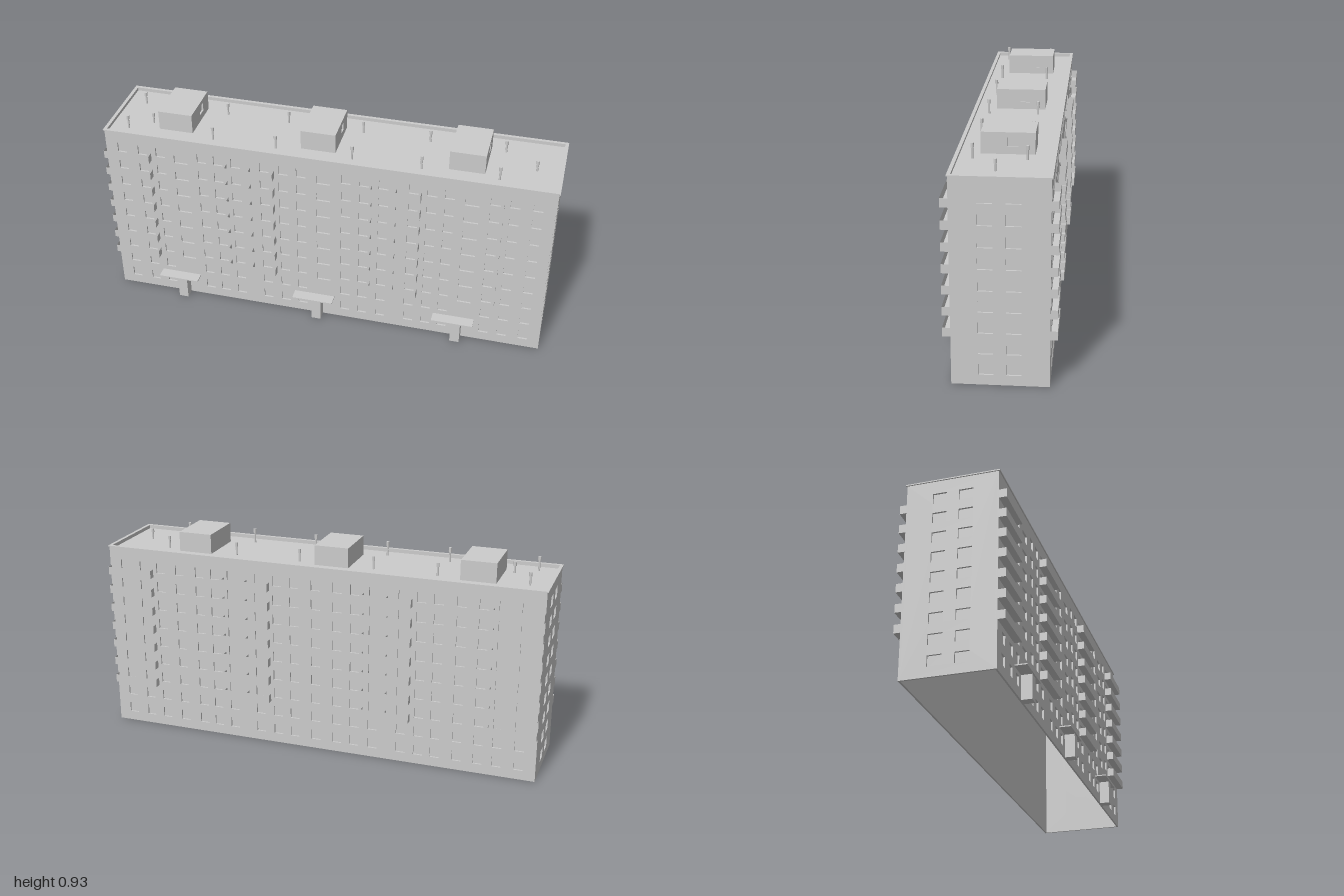
import * as THREE from 'three';
import { mergeGeometries } from 'three/addons/utils/BufferGeometryUtils.js';

const mat = new THREE.MeshStandardMaterial({ color: 0xcccccc, flatShading: true, side: THREE.DoubleSide });
const RECESS = 0.008, PITCH = 0.0885;
const ROWS = 9, FIRST_SILL = 0.043;
const FRONT = 0.18, BACK = -0.205, MID_Z = (FRONT + BACK) / 2, HALF_X = 0.995, WALL_H = 0.855;

function add(parent, geometry, name, x = 0, y = 0, z = 0) {
  const mesh = new THREE.Mesh(geometry, mat);
  mesh.name = name;
  mesh.position.set(x, y, z);
  parent.add(mesh);
  return mesh;
}

// Box given by its limits on each axis
function block(parent, name, x0, x1, y0, y1, z0, z1) {
  return add(parent, new THREE.BoxGeometry(x1 - x0, y1 - y0, z1 - z0), name,
    (x0 + x1) / 2, (y0 + y1) / 2, (z0 + z1) / 2);
}

function rectangle(Type, x0, x1, y0, y1) {
  return new Type([[x0, y0], [x1, y0], [x1, y1], [x0, y1]].map(p => new THREE.Vector2(...p)));
}

// Wall facing local +z with recessed windows {x, y, w, h}: x is the centre, y the sill
function wall(parent, name, width, height, windows, x, y, z, turn) {
  const shape = rectangle(THREE.Shape, -width / 2, width / 2, 0, height);
  const panes = [];
  for (const o of windows) {
    shape.holes.push(rectangle(THREE.Path, o.x - o.w / 2, o.x + o.w / 2, o.y, o.y + o.h));
    panes.push(new THREE.PlaneGeometry(o.w, o.h).translate(o.x, o.y + o.h / 2, -RECESS));
  }
  const side = new THREE.Group();
  side.name = name;
  side.position.set(x, y, z);
  side.rotation.y = turn;
  add(side, new THREE.ExtrudeGeometry(shape, { depth: RECESS, bevelEnabled: false }).translate(0, 0, -RECESS), name + 'Face');
  if (panes.length) add(side, mergeGeometries(panes), name + 'Panes');
  parent.add(side);
}

// Windows of all storeys for the given column centres
function windowGrid(columns, w) {
  const list = [];
  for (const x of columns)
    for (let r = 0; r < ROWS; r++) list.push({ x, y: FIRST_SILL + r * PITCH, w, h: 0.046 });
  return list;
}

// Thin open-topped balcony projecting from z0 to z1
function balcony(parent, x0, x1, y, z0, z1, divided) {
  const h = 0.037, d = Math.abs(z1 - z0), zc = (z0 + z1) / 2, xc = (x0 + x1) / 2;
  const parts = [
    new THREE.PlaneGeometry(x1 - x0, d).rotateX(-Math.PI / 2).translate(xc, y, zc),
    new THREE.PlaneGeometry(x1 - x0, h).translate(xc, y + h / 2, z1),
  ];
  for (const x of divided ? [x0, xc, x1] : [x0, x1])
    parts.push(new THREE.PlaneGeometry(d, h).rotateY(Math.PI / 2).translate(x, y + h / 2, zc));
  add(parent, mergeGeometries(parts), 'balcony');
}

export function createModel() {
  const model = new THREE.Group();
  model.name = 'apartmentBlock';

  // Outer walls, open underneath
  const half = [0.1, 0.18, 0.265, 0.395, 0.475, 0.55, 0.742, 0.825, 0.92];
  const columns = [...half, ...half.map(x => -x)];
  const frontWindows = windowGrid(columns, 0.042);
  for (const x of [-0.648, 0, 0.645])
    for (let k = 1; k <= 7; k++) frontWindows.push({ x, y: 0.112 + k * PITCH, w: 0.062, h: 0.04 });
  wall(model, 'frontWall', 2 * HALF_X, WALL_H, frontWindows, 0, 0, FRONT, 0);
  wall(model, 'backWall', 2 * HALF_X, WALL_H,
    windowGrid([...columns, -0.648, 0, 0.648], 0.042), 0, 0, BACK, Math.PI);
  for (const s of [1, -1])
    wall(model, s > 0 ? 'leftWall' : 'rightWall', FRONT - BACK, WALL_H,
      windowGrid([-0.057 * s, 0.052 * s], 0.059), s * HALF_X, 0, MID_Z, s * Math.PI / 2);

  // Roof deck and parapet coping
  add(model, new THREE.PlaneGeometry(2 * HALF_X - 0.004, FRONT - BACK - 0.004).rotateX(-Math.PI / 2),
    'roofDeck', 0, 0.842, MID_Z);
  const coping = rectangle(THREE.Shape, -1, 1, -0.197, 0.197);
  coping.holes.push(rectangle(THREE.Path, -0.985, 0.985, -0.182, 0.182));
  add(model, new THREE.ExtrudeGeometry(coping, { depth: 0.005, bevelEnabled: false }).rotateX(-Math.PI / 2),
    'parapetCoping', 0, 0.854, MID_Z);

  // Stacks of balconies on both long sides
  const balconies = new THREE.Group();
  balconies.name = 'balconies';
  model.add(balconies);
  for (const [x0, x1, divided] of [[-0.995, -0.785, false], [-0.435, -0.22, true], [0.215, 0.43, true], [0.78, 0.99, false]])
    for (let k = 0; k < 7; k++) {
      const y = 0.2 + k * 0.0882;
      balcony(balconies, x0, x1, y, FRONT, 0.212, divided);
      balcony(balconies, x0, x1, y, BACK, -0.233, divided);
    }

  for (const c of [-0.648, 0, 0.647]) {
    // Entrance porch and canopy
    block(model, 'entrancePorch', c - 0.048, c - 0.005, 0, 0.105, FRONT, 0.225);
    block(model, 'entranceCanopy', c - 0.137, c + 0.05, 0.105, 0.11, FRONT, 0.232);

    // Rooftop lift housing with a window on its left end
    const housing = new THREE.Group();
    housing.name = 'roofHousing';
    housing.position.set(c - 0.045, 0.842, -0.017);
    model.add(housing);
    const w = 0.154, d = 0.215, h = 0.088;
    wall(housing, 'housingFront', w, h, [], 0, 0, d / 2, 0);
    wall(housing, 'housingBack', w, h, [], 0, 0, -d / 2, Math.PI);
    wall(housing, 'housingLeft', d, h, [{ x: 0.019, y: 0.031, w: 0.042, h: 0.037 }], w / 2, 0, 0, Math.PI / 2);
    wall(housing, 'housingRight', d, h, [], -w / 2, 0, 0, -Math.PI / 2);
    block(housing, 'housingRoof', -w / 2, w / 2, h - 0.003, h + 0.0005, -d / 2, d / 2);
  }

  // Roof vent pipes: slim stem with a wider cap
  function vent(x, z, top) {
    const pipe = new THREE.Group();
    pipe.name = 'ventPipe';
    pipe.position.set(x, 0, z);
    model.add(pipe);
    const neck = top - 0.018;
    add(pipe, new THREE.CylinderGeometry(0.0045, 0.0045, neck - 0.842, 8), 'ventStem', 0, (neck + 0.842) / 2, 0);
    add(pipe, new THREE.CylinderGeometry(0.007, 0.007, 0.018, 8), 'ventCap', 0, top - 0.009, 0);
  }
  for (const x of [-0.905, -0.513, -0.228, 0.112, 0.412, 0.743]) {
    vent(x, 0.116, 0.906);
    vent(x, -0.098, 0.9);
  }
  vent(-0.813, 0.048, 0.892);
  vent(0.887, 0.013, 0.892);

  return model;
}
